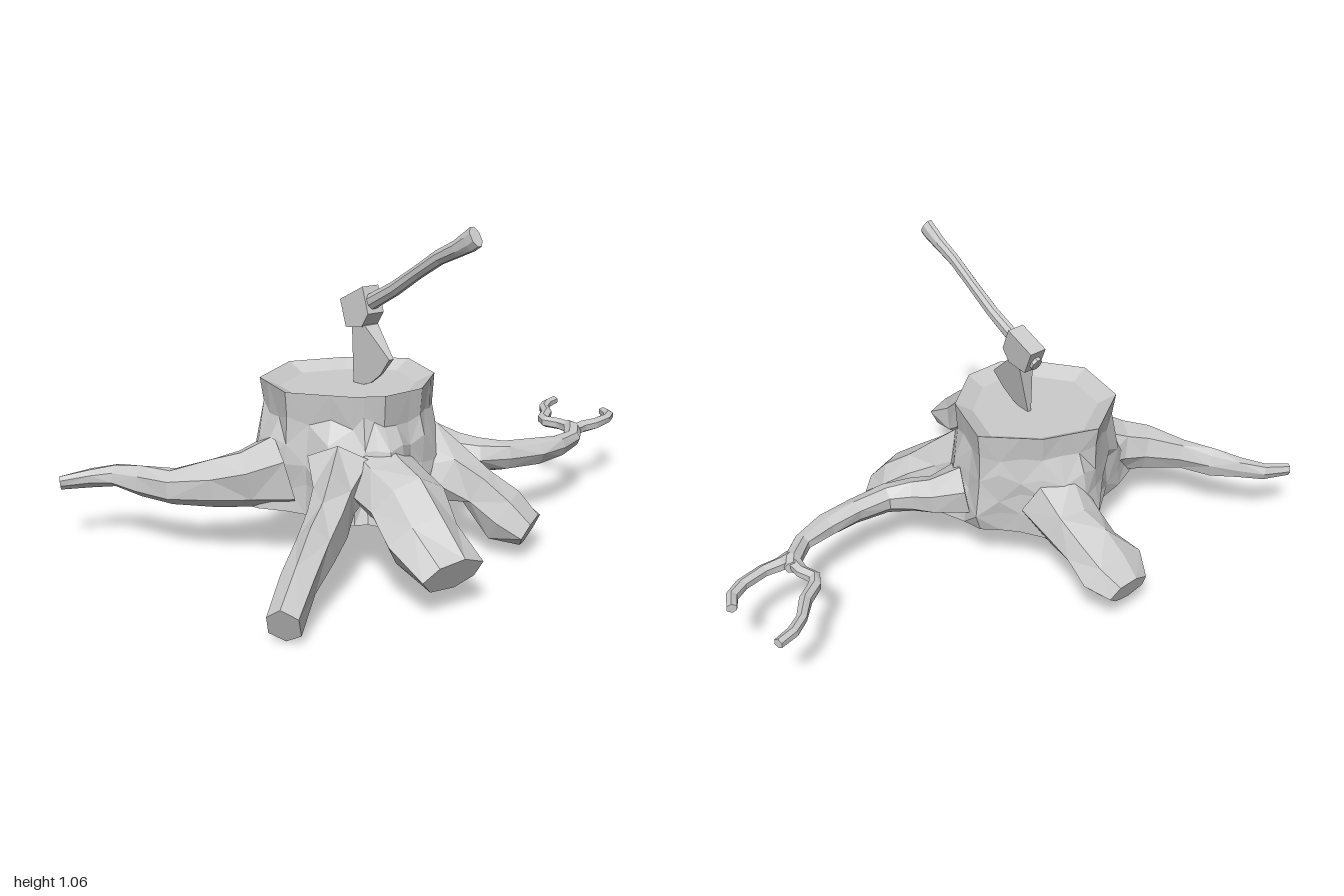
import * as THREE from 'three';

const material = new THREE.MeshStandardMaterial({ color: 0xcccccc, flatShading: true });
const V = (x, y, z) => new THREE.Vector3(x, y, z);
const BASE = 0.165; // height of the flat underside
const MID = 0.2; // z of the trunk's axis

// Repeatable unevenness in -1..1
const noise = (i, j, seed) => {
  const s = Math.sin(i * 12.99 + j * 78.23 + seed * 37.7) * 43758.55;
  return (s - Math.floor(s)) * 2 - 1;
};

// Closed skin over equally sized rings, each counter-clockwise about the path
function skin(rings) {
  const n = rings[0].length, pos = [], idx = [];
  rings.flat().forEach(p => pos.push(p.x, p.y, p.z));
  for (let i = 0; i < rings.length - 1; i++) {
    for (let j = 0; j < n; j++) {
      const k = (j + 1) % n, a = i * n + j, b = i * n + k;
      // Alternate the diagonals for a hewn look
      if ((i + j) % 2) idx.push(a, b, b + n, a, b + n, a + n);
      else idx.push(a, b, a + n, b, b + n, a + n);
    }
  }
  const cap = (ring, start, flip) => {
    const c = ring.reduce((s, p) => s.add(p), V(0, 0, 0)).divideScalar(n);
    const ci = pos.length / 3;
    pos.push(c.x, c.y, c.z);
    for (let j = 0; j < n; j++) {
      const a = start + j, b = start + (j + 1) % n;
      idx.push(ci, flip ? b : a, flip ? a : b);
    }
  };
  cap(rings[0], 0, true);
  cap(rings.at(-1), (rings.length - 1) * n, false);
  const g = new THREE.BufferGeometry();
  g.setAttribute('position', new THREE.Float32BufferAttribute(pos, 3));
  g.setIndex(idx);
  const flat = g.toNonIndexed();
  flat.computeVertexNormals();
  return flat;
}

// Limb along points [x, y, z, half width, half height];
// it stays above the flat underside within flatReach of the trunk's axis
function limb(points, { sides = 7, rough = 0.15, seed = 1, flatReach = 0.4 } = {}) {
  const c = points.map(p => V(p[0], p[1], p[2]));
  return skin(points.map(([, , , w, h], i) => {
    const t = c[Math.min(i + 1, c.length - 1)].clone().sub(c[Math.max(i - 1, 0)]).normalize();
    const side = V(0, 1, 0).cross(t).normalize();
    const up = t.clone().cross(side);
    return Array.from({ length: sides }, (_, j) => {
      const a = (j + 0.5) / sides * Math.PI * 2, r = 1.04 + rough * noise(i, j, seed);
      const p = c[i].clone().addScaledVector(side, Math.cos(a) * w * r)
        .addScaledVector(up, Math.sin(a) * h * r);
      if (Math.hypot(p.x, p.z - MID) < flatReach) p.y = Math.max(p.y, BASE);
      return p;
    });
  }));
}

const roots = {
  frontRightRoot: [[[-0.07, 0.28, 0.45, 0.14, 0.125],
    [-0.14, 0.25, 0.54, 0.105, 0.1], [-0.21, 0.235, 0.61, 0.078, 0.085],
    [-0.33, 0.22, 0.68, 0.045, 0.062], [-0.45, 0.22, 0.7, 0.034, 0.05],
    [-0.55, 0.225, 0.725, 0.032, 0.035], [-0.62, 0.215, 0.77, 0.028, 0.03],
    [-0.68, 0.205, 0.85, 0.018, 0.022]], { seed: 2, flatReach: 1 }],
  frontLeftRoot: [[[0.17, 0.3, 0.44, 0.1, 0.125],
    [0.22, 0.25, 0.53, 0.07, 0.1], [0.255, 0.21, 0.61, 0.06, 0.085],
    [0.3, 0.17, 0.71, 0.055, 0.075], [0.35, 0.115, 0.83, 0.055, 0.065],
    [0.41, 0.055, 0.96, 0.048, 0.055]], { seed: 3, sides: 6 }],
  leftRoot: [[[0.21, 0.285, 0.33, 0.13, 0.12],
    [0.32, 0.265, 0.385, 0.11, 0.1], [0.42, 0.25, 0.435, 0.105, 0.1],
    [0.52, 0.185, 0.48, 0.11, 0.09], [0.65, 0.12, 0.52, 0.1, 0.058]], { seed: 5 }],
  backLeftRoot: [[[0.2, 0.275, 0.11, 0.105, 0.12],
    [0.3, 0.225, 0.07, 0.085, 0.1], [0.39, 0.175, 0.035, 0.085, 0.095],
    [0.48, 0.12, 0.005, 0.1, 0.085], [0.56, 0.08, -0.02, 0.09, 0.05]], { seed: 6 }],
  backRightRoot: [[[-0.19, 0.27, 0.085, 0.12, 0.11],
    [-0.3, 0.23, 0.035, 0.1, 0.085], [-0.39, 0.2, 0.01, 0.11, 0.075],
    [-0.48, 0.155, -0.005, 0.115, 0.075], [-0.56, 0.125, -0.02, 0.075, 0.05]], { seed: 7 }],
  backRoot: [[[0.12, 0.26, -0.04, 0.1, 0.09],
    [0.2, 0.24, -0.12, 0.07, 0.065], [0.26, 0.235, -0.16, 0.06, 0.055],
    [0.32, 0.23, -0.23, 0.05, 0.05], [0.36, 0.225, -0.35, 0.046, 0.042],
    [0.38, 0.22, -0.47, 0.04, 0.034], [0.37, 0.22, -0.59, 0.034, 0.028],
    [0.32, 0.225, -0.68, 0.032, 0.025], [0.29, 0.225, -0.71, 0.022, 0.02]], { seed: 8 }],
  backRootLeftFork: [[[0.335, 0.225, -0.67, 0.026, 0.022], [0.335, 0.225, -0.72, 0.025, 0.022],
    [0.35, 0.225, -0.78, 0.022, 0.02], [0.35, 0.225, -0.87, 0.021, 0.019],
    [0.33, 0.225, -0.93, 0.02, 0.018], [0.285, 0.225, -0.97, 0.018, 0.016]],
  { sides: 6, rough: 0.08 }],
  backRootRightFork: [[[0.3, 0.225, -0.69, 0.025, 0.022], [0.25, 0.225, -0.705, 0.022, 0.02],
    [0.195, 0.225, -0.7, 0.021, 0.02], [0.165, 0.225, -0.73, 0.021, 0.02],
    [0.135, 0.225, -0.8, 0.021, 0.02], [0.08, 0.225, -0.87, 0.019, 0.018],
    [0.055, 0.225, -0.93, 0.018, 0.017], [0.05, 0.225, -0.995, 0.017, 0.016]],
  { sides: 6, rough: 0.08 }],
};

// Trunk whose wall swells toward each root [x, z, swell] as it nears the underside
function stumpGeometry() {
  const flares = [[-0.17, 0.57, 0.14], [0.24, 0.57, 0.13], [0.38, 0.42, 0.13],
    [0.36, 0.05, 0.1], [-0.36, 0.02, 0.13], [0.16, -0.08, 0.1]]
    .map(([x, z, swell]) => [Math.atan2(x, z - MID), swell]);
  // Plan of the cut top, [x, z], counter-clockwise seen from above
  const corners = [[0.295, 0.2], [0.2, 0.01], [0, -0.11], [-0.18, 0.01], [-0.285, 0.18],
    [-0.2, 0.41], [0, 0.505], [0.2, 0.42], [0.27, 0.35]];
  const plan = corners.flatMap(([x, z], i) => {
    const [x2, z2] = corners[(i + 1) % corners.length];
    return [0, 1 / 3, 2 / 3].map(t => [x + (x2 - x) * t, z + (z2 - z) * t - MID]);
  });
  // [height, scale, unevenness]; the last two make the sunken cut face
  const levels = [[BASE, 0.98, 0.02], [0.24, 1.0, 0.04], [0.31, 1.0, 0.04],
    [0.38, 0.99, 0.03], [0.46, 0.97, 0.015], [0.545, 1, 0], [0.515, 0.78, 0]];
  return skin(levels.map(([y, scale, rough], i) => plan.map(([x, z], j) => {
    const angle = Math.atan2(x, z), fall = Math.max(0, (0.47 - y) / 0.305);
    const swell = flares.reduce((sum, [a, s]) => {
      const d = Math.atan2(Math.sin(angle - a), Math.cos(angle - a)) / 0.27;
      return Math.max(sum, s * Math.exp(-d * d));
    }, 0);
    const k = scale + rough * noise(i, j, 4) + swell * fall / Math.hypot(x, z);
    const dy = i > 0 && i < 5 ? 0.02 * noise(j, i, 9) : 0;
    return V(x * k, y + dy, MID + z * k);
  })));
}

// Flat outline whose thickness follows thin(x, y), leaning slightly back
function axePart(outline, thin) {
  const shape = new THREE.Shape(outline.map(([x, y]) => new THREE.Vector2(x, y)));
  const g = new THREE.ExtrudeGeometry(shape, { depth: 0.066, bevelEnabled: false });
  g.translate(0, 0, -0.033);
  const p = g.attributes.position;
  for (let i = 0; i < p.count; i++) {
    const x = p.getX(i), y = p.getY(i);
    p.setZ(i, p.getZ(i) * thin(x, y) + (0.62 - y) * 0.1);
  }
  g.computeVertexNormals();
  return g;
}

export function createModel() {
  const model = new THREE.Group();
  model.name = 'stumpWithAxe';
  const add = (parent, name, geometry) => {
    const mesh = new THREE.Mesh(geometry, material);
    mesh.name = name;
    parent.add(mesh);
  };

  add(model, 'stump', stumpGeometry());
  for (const [name, [points, options]] of Object.entries(roots)) add(model, name, limb(points, options));

  // Axe stuck in the cut face
  const axe = new THREE.Group();
  axe.name = 'axe';
  axe.position.z = 0.16;
  axe.rotation.y = -0.18;
  add(axe, 'axePoll', axePart([[-0.067, 0.78], [-0.028, 0.695], [0.05, 0.705], [0.077, 0.75],
    [0.04, 0.833]], () => 1));
  add(axe, 'axeBlade', axePart([[0, 0.71], [0, 0.5], [0.08, 0.525], [0.126, 0.56], [0.168, 0.615],
    [0.06, 0.71]], (x, y) => 0.12 + (y - x * 0.5 - 0.49) * 3.8));
  add(axe, 'axeHandle', limb([[-0.055, 0.725, -0.01, 0.02, 0.026], [0.06, 0.785, -0.01, 0.02, 0.026],
    [0.17, 0.84, -0.01, 0.019, 0.023], [0.28, 0.905, -0.007, 0.018, 0.021],
    [0.38, 0.962, -0.003, 0.018, 0.023], [0.46, 0.996, 0, 0.02, 0.026],
    [0.51, 1.022, 0, 0.021, 0.032], [0.535, 1.038, 0, 0.02, 0.033]], { sides: 8, rough: 0 }));
  model.add(axe);
  return model;
}
